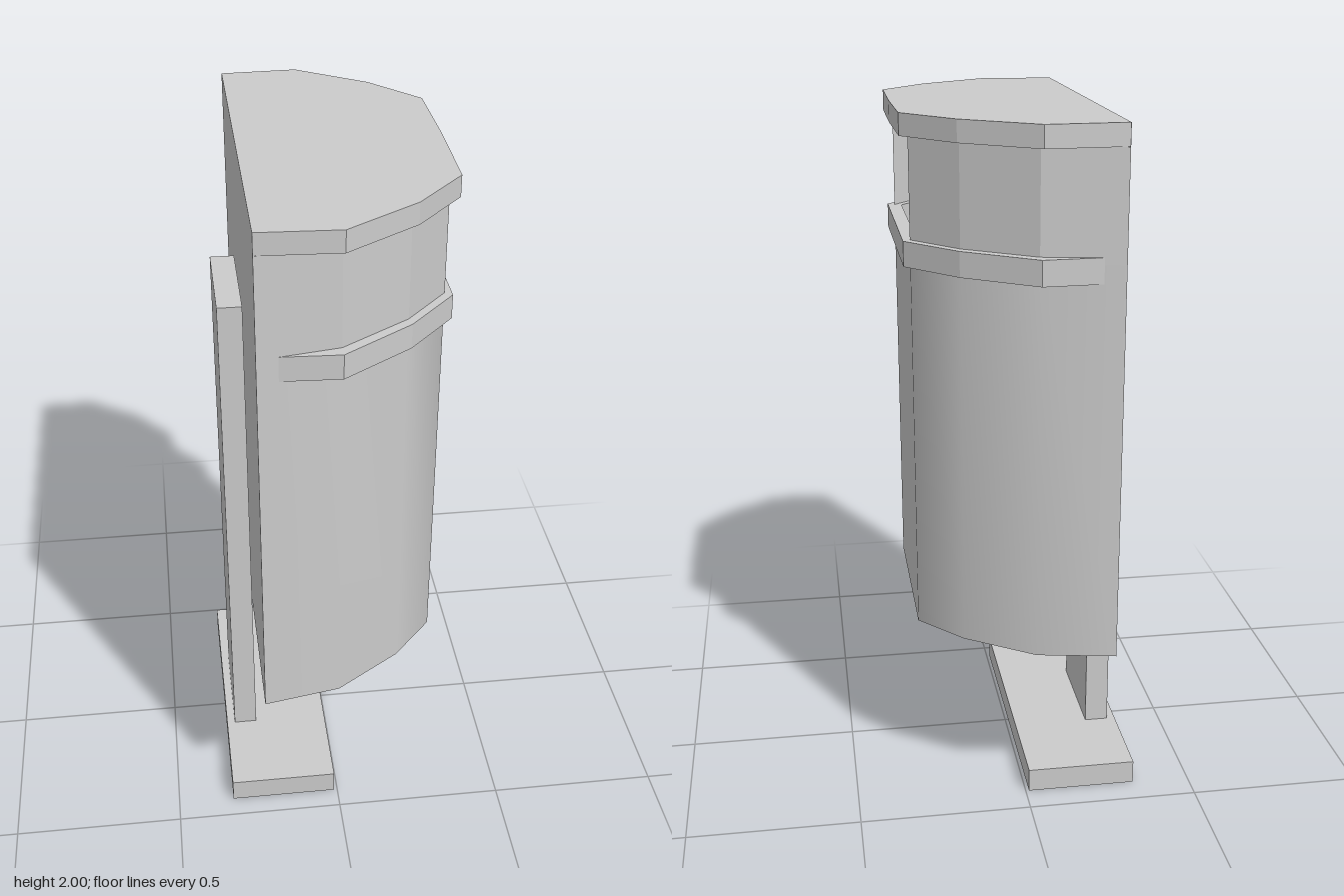
import * as THREE from 'three';

const material = new THREE.MeshStandardMaterial({ color: 0xcccccc, side: THREE.DoubleSide });
const flatMaterial = new THREE.MeshStandardMaterial({ color: 0xcccccc, side: THREE.DoubleSide, flatShading: true });

// Half outlines in [x, z], from the back edge to the front corner
const BODY = [[-0.23, 0.57], [-0.01, 0.53], [0.18, 0.4], [0.3, 0.265]];
const INNER = [[-0.23, 0.54], [-0.01, 0.505], [0.165, 0.385], [0.28, 0.255]];
const RIM = [[-0.23, 0.557], [-0.01, 0.567], [0.185, 0.43], [0.32, 0.28]];
const LID = [[-0.23, 0.568], [-0.01, 0.578], [0.19, 0.44], [0.325, 0.285], [0.329, 0]];

const BOTTOM = 0.52, RIM_LOW = 1.59, RIM_TOP = 1.66, LID_LOW = 1.94, TOP = 2;

// Complete a half outline by mirroring it in z
const mirror = (half) => [
  ...half,
  ...half.filter(([, z]) => z > 0).reverse().map(([x, z]) => [x, -z]),
];

const toShape = (points) => new THREE.Shape(points.map(([x, z]) => new THREE.Vector2(x, z)));

// Horizontal slab with the given outline
function slab(points, low, high) {
  const geometry = new THREE.ExtrudeGeometry(toShape(points), { depth: high - low, bevelEnabled: false });
  return geometry.rotateX(Math.PI / 2).translate(0, high, 0);
}

// Upright sheet that follows an outline
function wall(points, low, high) {
  const positions = [], index = [];
  points.forEach(([x, z], i) => {
    positions.push(x, low, z, x, high, z);
    const a = i * 2;
    if (i < points.length - 1) index.push(a, a + 2, a + 1, a + 1, a + 2, a + 3);
  });
  const geometry = new THREE.BufferGeometry();
  geometry.setAttribute('position', new THREE.Float32BufferAttribute(positions, 3));
  geometry.setIndex(index);
  geometry.computeVertexNormals();
  return geometry;
}

// Box without an underside, given by its limits
function openBox(x0, x1, y0, y1, z0, z1) {
  const geometry = new THREE.BoxGeometry(x1 - x0, y1 - y0, z1 - z0);
  const faces = Array.from(geometry.index.array);
  faces.splice(18, 6);
  geometry.setIndex(faces);
  geometry.clearGroups();
  return geometry.translate((x0 + x1) / 2, (y0 + y1) / 2, (z0 + z1) / 2);
}

export function createModel() {
  const group = new THREE.Group();
  const add = (name, geometry, mat = flatMaterial) => {
    const mesh = new THREE.Mesh(geometry, mat);
    mesh.name = name;
    group.add(mesh);
  };

  // Stand
  add('basePlate', openBox(-0.33, -0.01, 0, 0.07, -0.415, 0.435));
  add('post', openBox(-0.305, -0.235, 0.055, 1.6, -0.155, 0.167));

  // Container: curved shell, flat back and floor
  const outline = mirror(BODY);
  add('shell', wall(outline, BOTTOM, RIM_TOP - 0.02), material);
  add('backPanel', wall([[-0.23, -0.57], [-0.23, 0.57]], BOTTOM, TOP));
  add('floor', new THREE.ShapeGeometry(toShape(outline)).rotateX(Math.PI / 2).translate(0, BOTTOM, 0));

  // Band around the mouth, open at the back
  add('rim', slab([...mirror(RIM), ...mirror(INNER).reverse()], RIM_LOW, RIM_TOP));

  // Side panels leave the front open between rim and lid
  add('leftNeckPanel', wall(BODY, RIM_TOP - 0.02, LID_LOW));
  add('rightNeckPanel', wall(outline.slice(BODY.length), RIM_TOP - 0.02, LID_LOW));

  add('lid', slab(mirror(LID), LID_LOW, TOP));
  return group;
}
